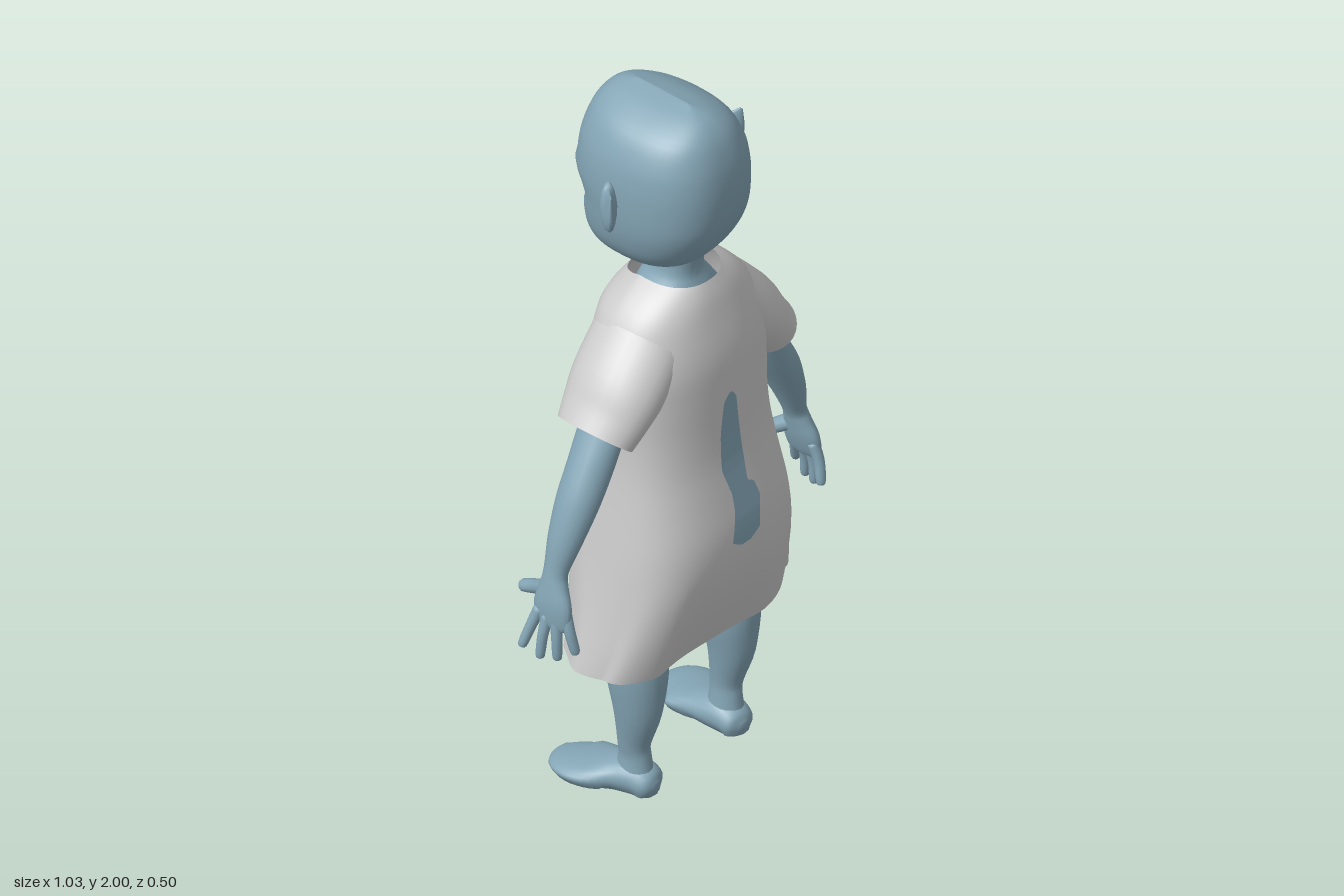
import * as THREE from 'three';

const skin = new THREE.MeshStandardMaterial({ color: 0x84a5b5, side: THREE.DoubleSide });
const cloth = new THREE.MeshStandardMaterial({ color: 0xcccccc, side: THREE.DoubleSide });

// Smoothly resample rows of numbers, n steps per interval
function resample(rows, n) {
  const out = [];
  const last = rows.length - 1;
  for (let k = 0; k <= last * n; k++) {
    const i = Math.min(Math.floor(k / n), last - 1), t = k / n - i;
    const p0 = rows[Math.max(i - 1, 0)], p1 = rows[i], p2 = rows[i + 1], p3 = rows[Math.min(i + 2, last)];
    out.push(p1.map((b, c) => {
      const m1 = (p2[c] - p0[c]) / 2, m2 = (p3[c] - b) / 2, d = p2[c] - b;
      return b + m1 * t + (3 * d - 2 * m1 - m2) * t * t + (m1 + m2 - 2 * d) * t * t * t;
    }));
  }
  return out;
}

// Skin a list of closed rings of Vector3
function loft(rings, capped = true) {
  const n = rings[0].length, pos = [], idx = [];
  rings.forEach(r => r.forEach(p => pos.push(p.x, p.y, p.z)));
  for (let i = 0; i < rings.length - 1; i++) {
    for (let j = 0; j < n; j++) {
      const a = i * n + j, b = i * n + (j + 1) % n;
      idx.push(a, a + n, b, b, a + n, b + n);
    }
  }
  if (capped) {
    [0, rings.length - 1].forEach((i, end) => {
      const c = rings[i].reduce((s, p) => s.add(p), new THREE.Vector3()).divideScalar(n);
      const k = pos.length / 3;
      pos.push(c.x, c.y, c.z);
      for (let j = 0; j < n; j++) {
        const a = i * n + j, b = i * n + (j + 1) % n;
        if (end) idx.push(k, b, a); else idx.push(k, a, b);
      }
    });
  }
  const g = new THREE.BufferGeometry();
  g.setAttribute('position', new THREE.Float32BufferAttribute(pos, 3));
  g.setIndex(idx);
  g.computeVertexNormals();
  return g;
}

const spow = (v, e) => Math.sign(v) * Math.abs(v) ** e;

// Level rings from rows [y, half width, z back, z front]; rule moves each vertex
function stack(rows, { steps = 3, sides = 40, power = () => 2.3, rule, capped = true } = {}) {
  return loft(resample(rows, steps).map(([y, w, zb, zf]) => Array.from({ length: sides }, (_, j) => {
    const a = j / sides * Math.PI * 2, e = 2 / power(y, a);
    const p = new THREE.Vector3(w * spow(Math.cos(a), e), y, (zb + zf) / 2 + (zb - zf) / 2 * spow(Math.sin(a), e));
    if (rule) rule(p, a);
    return p;
  })), capped);
}

// Limb through rows [x, y, z, radius across, radius along ref]
function limb(rows, { ref = [0, 0, 1], steps = 4, sides = 16, capped = true } = {}) {
  const pts = resample(rows, steps);
  const at = i => new THREE.Vector3(...pts[Math.max(0, Math.min(pts.length - 1, i))].slice(0, 3));
  return loft(pts.map((p, i) => {
    const T = at(i + 1).sub(at(i - 1)).normalize();
    const V = new THREE.Vector3(...ref);
    V.addScaledVector(T, -V.dot(T)).normalize();
    const U = T.clone().cross(V);
    return Array.from({ length: sides }, (_, j) => {
      const a = j / sides * Math.PI * 2;
      return at(i).addScaledVector(U, p[3] * Math.cos(a)).addScaledVector(V, p[4] * Math.sin(a));
    });
  }), capped);
}

function mirrored(geo) {
  const g = geo.clone().scale(-1, 1, 1);
  g.setIndex(Array.from(geo.index.array).reverse());
  g.computeVertexNormals();
  return g;
}

export function createModel() {
  const model = new THREE.Group();
  const add = (name, geo, mat = skin) => {
    const m = new THREE.Mesh(geo, mat);
    m.name = name;
    model.add(m);
  };
  const pair = (name, geo, mat = skin) => {
    add(name + 'Left', geo, mat);
    add(name + 'Right', mirrored(geo), mat);
  };

  // Head: ridge on top, with brow, eye sockets, nose and lips pushed into the face
  const bump = (p, x, y, sx, sy) => Math.exp(-(((Math.abs(p.x) - x) / sx) ** 2) - ((p.y - y) / sy) ** 2);
  add('head', stack([
    [1.49, 0.03, -0.11, -0.175], [1.505, 0.065, -0.03, -0.193], [1.53, 0.095, 0.06, -0.205],
    [1.56, 0.125, 0.115, -0.21], [1.6, 0.15, 0.15, -0.212], [1.65, 0.166, 0.18, -0.213],
    [1.7, 0.174, 0.198, -0.215], [1.76, 0.177, 0.205, -0.228], [1.82, 0.174, 0.204, -0.228],
    [1.88, 0.161, 0.194, -0.215], [1.94, 0.127, 0.17, -0.19], [1.98, 0.065, 0.13, -0.15], [2, 0.003, 0.07, -0.09],
  ], {
    steps: 4, sides: 64, power: (y, a) => (Math.sin(a) < 0 ? 2.2 : 2.5),
    rule: p => {
      if (p.z > -0.08) return;
      p.z += 0.028 * bump(p, 0.075, 1.695, 0.045, 0.03)
        - 0.012 * bump(p, 0.07, 1.755, 0.06, 0.025)
        - 0.038 * bump(p, 0, 1.637, 0.026, 0.024)
        - 0.022 * bump(p, 0, 1.575, 0.06, 0.022);
    },
  }));
  add('neck', stack([
    [1.4, 0.13, 0.13, -0.07], [1.46, 0.09, 0.115, -0.06], [1.5, 0.062, 0.1, -0.04],
    [1.55, 0.057, 0.105, -0.03], [1.62, 0.07, 0.12, -0.05],
  ], { sides: 24 }));
  pair('ear', limb([
    [0.15, 1.75, -0.05, 0.015, 0.05], [0.185, 1.75, -0.025, 0.022, 0.065],
    [0.215, 1.77, 0.005, 0.014, 0.05], [0.24, 1.828, 0.03, 0.003, 0.005],
  ], { ref: [0, 1, 0] }));

  // Smock: boxy body, folds towards the hem, collar dipping at the face side
  const smock = [
    [0.43, 0.335, 0.175, -0.11], [0.5, 0.32, 0.2, -0.115], [0.6, 0.3, 0.23, -0.135], [0.7, 0.284, 0.248, -0.15],
    [0.8, 0.27, 0.248, -0.155], [0.9, 0.256, 0.23, -0.148], [1.0, 0.244, 0.212, -0.14], [1.1, 0.24, 0.205, -0.138],
    [1.2, 0.245, 0.203, -0.138], [1.3, 0.245, 0.198, -0.135], [1.4, 0.207, 0.175, -0.125],
    [1.46, 0.155, 0.158, -0.112], [1.5, 0.1, 0.14, -0.09],
  ];
  add('smock', stack(smock, {
    sides: 72, capped: false, power: y => (y > 1.3 ? 2.3 : 2.3 + Math.min(1, (1.3 - y) * 1.5) * 0.7),
    rule: (p, a) => {
      const fold = THREE.MathUtils.clamp((0.74 - p.y) / 0.3, 0, 1);
      p.z += 0.013 * fold * Math.sin(6 * a + 0.6 * fold);
      p.x += 0.008 * fold * Math.sin(9 * a);
      if (p.y > 1.4) p.y -= Math.max(0, -p.z) * 4 * (p.y - 1.4);
    },
  }), cloth);
  pair('sleeve', limb([
    [0.13, 1.34, 0.03, 0.1, 0.13], [0.215, 1.255, 0.035, 0.095, 0.13],
    [0.265, 1.195, 0.035, 0.083, 0.12], [0.303, 1.15, 0.035, 0.078, 0.108],
  ], { sides: 28, capped: false }), cloth);

  // Skin showing through the back of the smock
  const tear = [
    [1.19, -0.005, 0.005], [1.17, -0.025, 0.02], [1.08, -0.04, 0.028], [0.98, -0.045, 0.035], [0.915, -0.027, 0.035],
    [0.905, -0.024, 0.055], [0.86, -0.024, 0.068], [0.81, -0.036, 0.058], [0.775, -0.045, 0.055], [0.755, -0.01, 0.02],
  ];
  const backRows = resample(smock, 3);
  const backZ = y => {
    const i = backRows.findIndex(r => r[0] >= y), [a, b] = [backRows[i - 1], backRows[i]];
    return a[2] + (b[2] - a[2]) * (y - a[0]) / (b[0] - a[0]);
  };
  const patch = new THREE.PlaneGeometry(1, 1, 4, 60);
  const pp = patch.attributes.position;
  for (let i = 0; i < pp.count; i++) {
    const y = 1.19 - (0.5 - pp.getY(i)) * 0.435;
    const k = Math.max(1, tear.findIndex(r => r[0] <= y + 1e-6)), [a, b] = [tear[k - 1], tear[k]];
    const t = (a[0] - y) / (a[0] - b[0]);
    const l = a[1] + (b[1] - a[1]) * t, r = a[2] + (b[2] - a[2]) * t;
    pp.setXYZ(i, l + (r - l) * (pp.getX(i) + 0.5), y, backZ(y) + 0.004);
  }
  patch.computeVertexNormals();
  add('backPatch', patch);

  // Torso hidden under the smock
  add('torso', stack([
    [0.6, 0.13, 0.11, -0.06], [0.7, 0.2, 0.17, -0.1], [0.9, 0.21, 0.18, -0.11],
    [1.1, 0.2, 0.16, -0.11], [1.3, 0.19, 0.14, -0.09], [1.42, 0.12, 0.12, -0.06],
  ], { sides: 28 }));

  // Arms and hands
  pair('arm', limb([
    [0.2, 1.26, 0.035, 0.06, 0.065], [0.275, 1.15, 0.035, 0.05, 0.064], [0.325, 1.06, 0.037, 0.053, 0.06],
    [0.37, 0.98, 0.037, 0.05, 0.057], [0.41, 0.89, 0.033, 0.04, 0.046], [0.437, 0.81, 0.028, 0.028, 0.033],
    [0.447, 0.77, 0.03, 0.027, 0.04], [0.457, 0.72, 0.035, 0.026, 0.056], [0.465, 0.67, 0.037, 0.017, 0.052],
    [0.467, 0.655, 0.037, 0.006, 0.035],
  ], { sides: 20 }));
  const fingers = {
    littleFinger: [[0.455, 0.71, 0.072], [0.458, 0.66, 0.09], [0.452, 0.605, 0.102]],
    ringFinger: [[0.465, 0.69, 0.052], [0.472, 0.635, 0.06], [0.472, 0.58, 0.062]],
    middleFinger: [[0.468, 0.69, 0.028], [0.482, 0.635, 0.024], [0.487, 0.575, 0.02]],
    indexFinger: [[0.468, 0.7, 0.003], [0.486, 0.645, -0.012], [0.502, 0.595, -0.024]],
    thumb: [[0.448, 0.75, 0.012], [0.425, 0.715, -0.045], [0.423, 0.695, -0.09]],
  };
  for (const [name, [a, b, c]] of Object.entries(fingers)) {
    const r = name === 'thumb' ? 0.019 : 0.014;
    const tip = c.map((v, i) => v + (c[i] - b[i]) * 0.14);
    pair(name, limb([[...a, r * 1.15, r * 1.15], [...b, r, r], [...c, r * 0.85, r * 0.85], [...tip, 0.003, 0.003]],
      { sides: 10, ref: name === 'thumb' ? [0, 1, 0] : [0, 0, 1] }));
  }

  // Legs and feet
  pair('leg', limb([
    [0.13, 0.78, 0.04, 0.09, 0.1], [0.155, 0.6, 0.045, 0.088, 0.1], [0.17, 0.44, 0.045, 0.075, 0.088],
    [0.17, 0.35, 0.055, 0.072, 0.08], [0.172, 0.25, 0.058, 0.056, 0.064], [0.17, 0.15, 0.045, 0.038, 0.045],
    [0.167, 0.1, 0.045, 0.035, 0.045], [0.167, 0.03, 0.045, 0.045, 0.055],
  ], { sides: 22 }));
  const foot = limb([
    [0.16, 0.03, 0.112, 0.012, 0.012], [0.162, 0.032, 0.095, 0.042, 0.034], [0.165, 0.042, 0.05, 0.052, 0.046],
    [0.172, 0.038, 0, 0.062, 0.042], [0.188, 0.03, -0.06, 0.083, 0.032], [0.193, 0.026, -0.11, 0.083, 0.025],
    [0.182, 0.022, -0.15, 0.058, 0.018], [0.17, 0.018, -0.174, 0.015, 0.008],
  ], { ref: [0, 1, 0], sides: 24 });
  const fp = foot.attributes.position;
  for (let i = 0; i < fp.count; i++) fp.setY(i, fp.getY(i) < 0.016 ? Math.max(0, fp.getY(i) * 0.5) : fp.getY(i)); // flat sole
  foot.computeVertexNormals();
  pair('foot', foot);

  return model;
}
